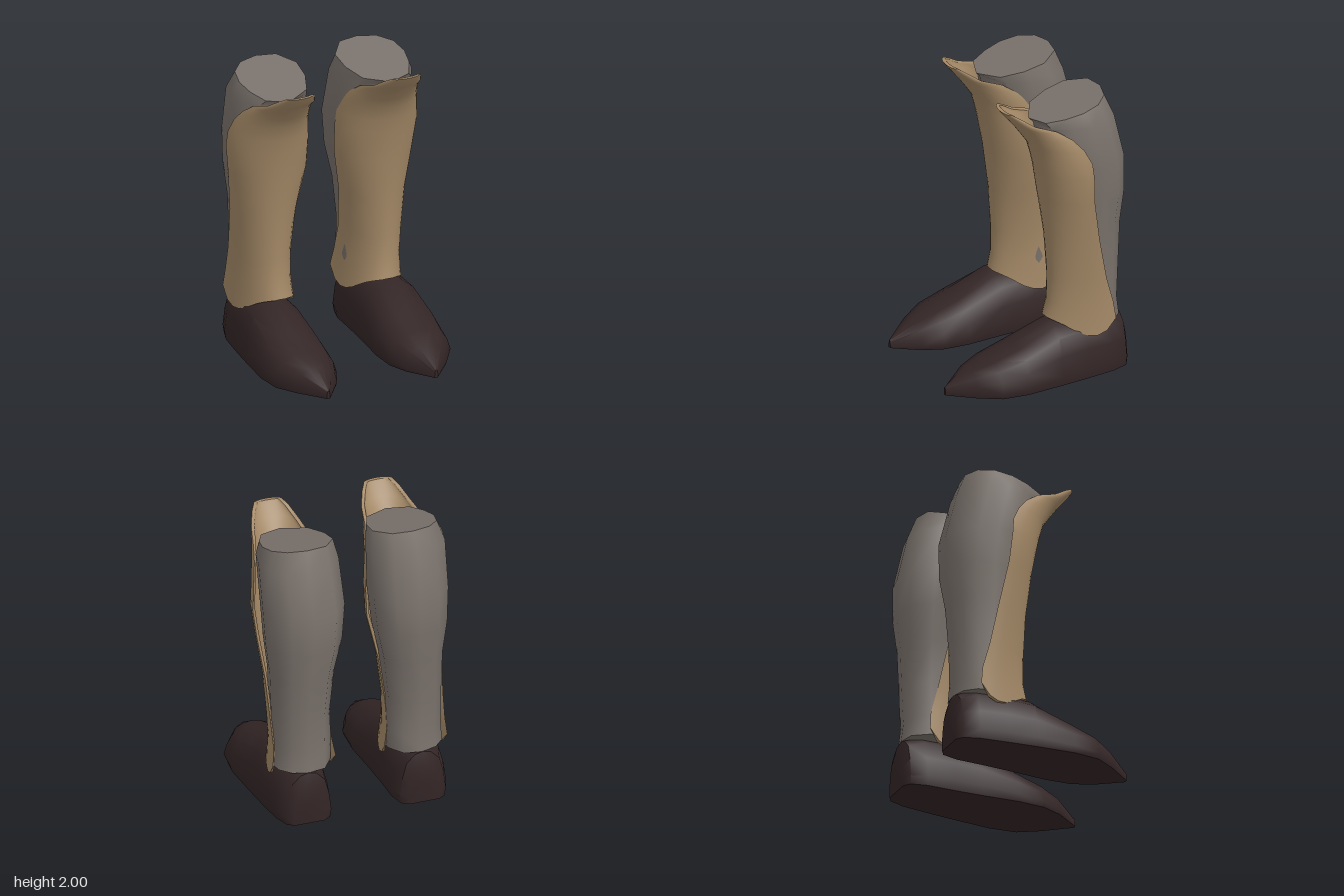
import * as THREE from 'three';
import { toCreasedNormals } from 'three/addons/utils/BufferGeometryUtils.js';

const tan = new THREE.MeshStandardMaterial({ color: 0xa38866 });
tan.name = 'tan leather';
const grey = new THREE.MeshStandardMaterial({ color: 0x79716b });
grey.name = 'grey cloth';
const dark = new THREE.MeshStandardMaterial({ color: 0x332526 });
dark.name = 'dark leather';

// Skins a grid of [x, y, z] rows; side = -1 mirrors it across x.
function skin(rows, side, { closeRing = false, closeRows = false, caps = false, crease = 0.9 }) {
  const n = rows[0].length, m = rows.length;
  const pos = [], index = [];
  const tri = (a, b, c) => (side > 0 ? index.push(a, b, c) : index.push(a, c, b));
  rows.forEach((row) => row.forEach(([x, y, z]) => pos.push(x * side, y, z)));
  for (let i = 0; i < (closeRows ? m : m - 1); i++) {
    for (let j = 0; j < (closeRing ? n : n - 1); j++) {
      const k = (j + 1) % n, lo = i * n, hi = ((i + 1) % m) * n;
      tri(lo + j, lo + k, hi + k);
      tri(lo + j, hi + k, hi + j);
    }
  }
  if (caps) {
    [0, m - 1].forEach((r) => {
      const mid = [0, 1, 2].map((c) => rows[r].reduce((s, p) => s + p[c], 0) / n);
      const centre = pos.length / 3;
      pos.push(mid[0] * side, mid[1], mid[2]);
      for (let j = 0; j < n; j++) {
        const a = r * n + j, b = r * n + ((j + 1) % n);
        if (r === 0) tri(centre, b, a);
        else tri(centre, a, b);
      }
    });
  }
  const geo = new THREE.BufferGeometry();
  geo.setAttribute('position', new THREE.Float32BufferAttribute(pos, 3));
  geo.setIndex(index);
  return toCreasedNormals(geo, crease);
}

// Calf: one outline scaled up the leg, with a top sloping down to the front.
function calfGeometry(side) {
  const outline = [[0, 1], [0.65, 0.8], [0.9, 0.35], [1, -0.1], [0.9, -0.55], [0.55, -0.87],
    [0, -1], [-0.6, -0.92], [-1, -0.45], [-0.97, 0.1], [-0.72, 0.65]];
  // y, centre x, half width, back z, front z
  const levels = [
    [0.37, 0.395, 0.195, -0.61, -0.15], [0.5, 0.39, 0.195, -0.595, -0.16],
    [0.75, 0.395, 0.19, -0.605, -0.16], [1.05, 0.385, 0.21, -0.62, -0.14],
    [1.28, 0.375, 0.25, -0.65, -0.11], [1.53, 0.37, 0.268, -0.65, -0.07],
    [1.85, 0.38, 0.262, -0.57, -0.01], [2, 0.37, 0.23, -0.51, 0.02],
  ];
  const rows = levels.map(([y, cx, hw, zb, zf], i) => outline.map(([u, v]) => {
    const z = (zb + zf) / 2 + (v * (zf - zb)) / 2;
    const top = i === levels.length - 1;
    return [cx + u * hw, top ? 1.88 + ((0.02 - z) / 0.53) * 0.12 : y, z];
  }));
  return skin(rows, side, { closeRing: true, caps: true });
}

// Height of the scalloped lower edge; u runs from 0 at the front to 1 at the side.
const hem = [[0, 0.42], [0.25, 0.41], [0.43, 0.38], [0.6, 0.325], [0.75, 0.29], [0.88, 0.305], [1, 0.4]];
function hemHeight(u) {
  const i = Math.max(1, hem.findIndex(([a]) => u <= a));
  return THREE.MathUtils.mapLinear(u, hem[i - 1][0], hem[i][0], hem[i - 1][1], hem[i][1]);
}

// Shin guard: half-ellipse shell that narrows into a flared lip at the knee.
function guardGeometry(side) {
  // y, centre x, half width, front z, side edge z
  const levels = [
    [0.42, 0.39, 0.22, -0.085, -0.505], [0.52, 0.395, 0.203, -0.11, -0.49],
    [0.7, 0.4, 0.202, -0.115, -0.44], [1, 0.395, 0.223, -0.1, -0.38],
    [1.3, 0.385, 0.272, -0.065, -0.325], [1.5, 0.395, 0.285, -0.03, -0.31],
    [1.6, 0.395, 0.275, -0.005, -0.3], [1.7, 0.395, 0.255, 0.025, -0.25],
    [1.78, 0.39, 0.23, 0.08, -0.18], [1.85, 0.39, 0.2, 0.13, -0.08],
    [1.9, 0.385, 0.168, 0.17, 0.06], [1.96, 0.385, 0.13, 0.22, 0.15],
    [1.99, 0.385, 0.1, 0.24, 0.2],
  ];
  const steps = 20;
  const shell = (thickness) => levels.map(([y, cx, hw, zf, zs], i) => {
    const row = [];
    for (let j = 0; j <= steps; j++) {
      const u = (j / steps) * 2 - 1, a = (u * Math.PI) / 2;
      const t = j === 0 || j === steps ? 0 : thickness;
      row.push([cx + (hw - t) * Math.sin(a), i ? y : hemHeight(Math.abs(u)), zs + (zf - t - zs) * Math.cos(a)]);
    }
    return row;
  });
  // Outside going up, inside coming back down
  return skin([...shell(0), ...shell(0.025).reverse()], side, { closeRows: true });
}

// Shoe: arched sections from heel to pointed toe.
function shoeGeometry(side) {
  const half = [[0.94, 0], [1, 0.16], [0.9, 0.5], [0.72, 0.8], [0.36, 0.96]];
  const arch = [...half, [0, 1], ...half.map(([u, v]) => [-u, v]).reverse()];
  // z, centre x, half width, top y
  const stations = [
    [-0.64, 0.4, 0.11, 0.27], [-0.61, 0.4, 0.16, 0.37], [-0.5, 0.405, 0.195, 0.41],
    [-0.3, 0.415, 0.21, 0.42], [-0.1, 0.42, 0.225, 0.4], [0.16, 0.42, 0.245, 0.285],
    [0.34, 0.415, 0.228, 0.22], [0.48, 0.4, 0.152, 0.165], [0.65, 0.392, 0.012, 0.06],
  ];
  const rows = stations.map(([z, cx, hw, top]) =>
    arch.map(([u, v]) => [cx + u * hw, 0.005 + v * (top - 0.005), z]));
  return skin(rows, side, { closeRing: true, caps: true, crease: 0.8 });
}

export function createModel() {
  const model = new THREE.Group();
  model.name = 'pairOfBoots';
  for (const [side, label] of [[1, 'left'], [-1, 'right']]) {
    const boot = new THREE.Group();
    boot.name = `${label}Boot`;
    const parts = [['Calf', calfGeometry, grey], ['ShinGuard', guardGeometry, tan], ['Shoe', shoeGeometry, dark]];
    for (const [name, build, material] of parts) {
      const mesh = new THREE.Mesh(build(side), material);
      mesh.name = label + name;
      boot.add(mesh);
    }
    model.add(boot);
  }
  return model;
}
